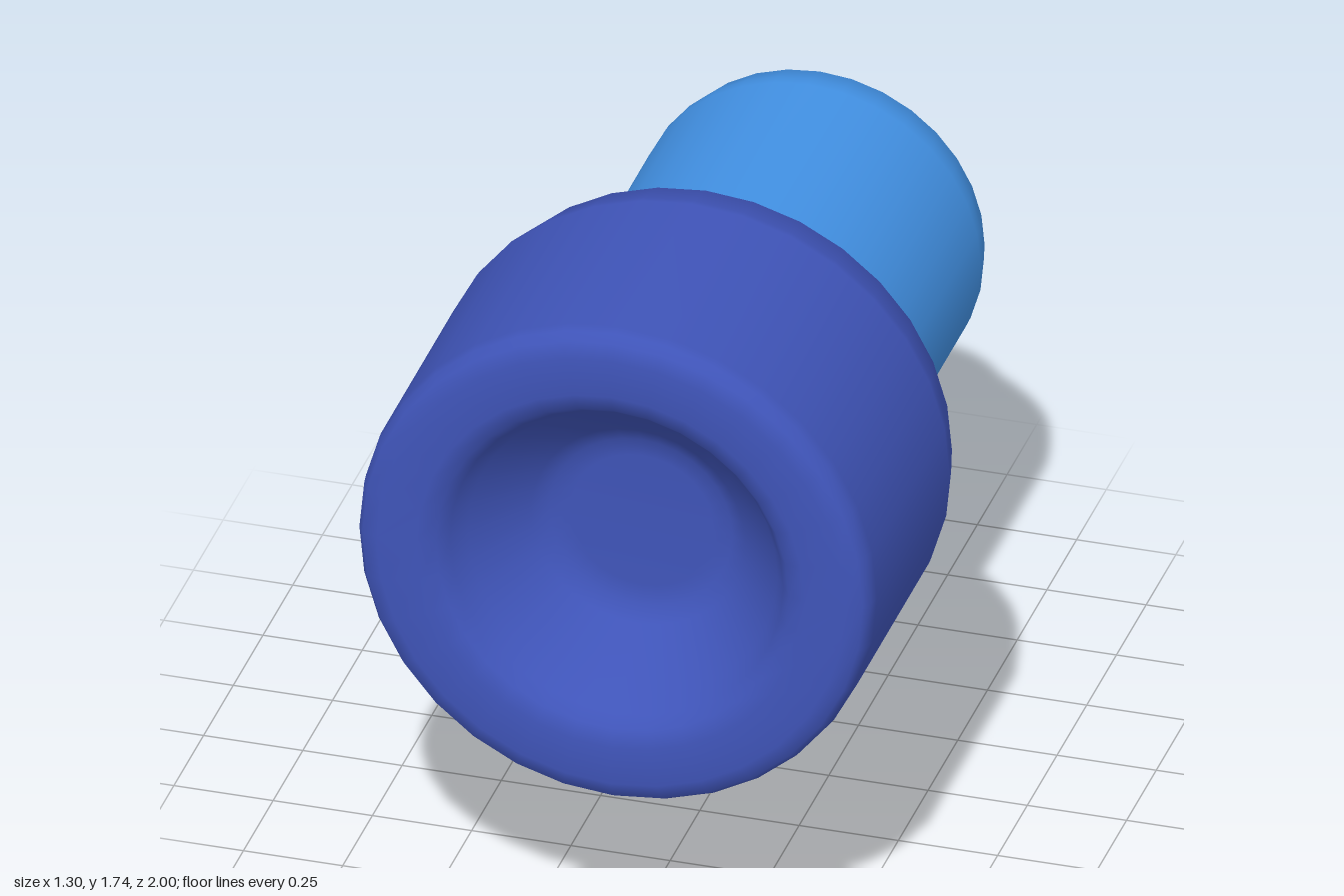
import * as THREE from 'three';

const AXIS_Y = 1.085;

// Round part turned about the z axis; profile is [radius, z] from back to front.
function turned(name, profile, material) {
  const geo = new THREE.LatheGeometry(profile.map(([r, z]) => new THREE.Vector2(r, z)), 32);
  geo.rotateX(Math.PI / 2);
  const mesh = new THREE.Mesh(geo, material);
  mesh.name = name;
  mesh.position.y = AXIS_Y;
  return mesh;
}

// Upright loft of rounded rectangles, bottom to top:
// each section is [y, z front, z back, half width, corner radius].
function loft(name, sections, material) {
  const steps = 4, ring = 4 * (steps + 1);
  const pos = [], index = [];
  for (const [y, front, back, hx, r] of sections) {
    const zc = (front + back) / 2, hz = (front - back) / 2;
    for (let q = 0; q < 4; q++) {
      const sx = q === 0 || q === 3 ? 1 : -1, sz = q < 2 ? 1 : -1;
      for (let k = 0; k <= steps; k++) {
        const a = (q + k / steps) * Math.PI / 2;
        pos.push(sx * (hx - r) + r * Math.cos(a), y, zc + sz * (hz - r) + r * Math.sin(a));
      }
    }
  }
  for (let i = 0; i < sections.length - 1; i++) {
    for (let j = 0; j < ring; j++) {
      const a = i * ring + j, b = i * ring + (j + 1) % ring;
      index.push(a, a + ring, b, b, a + ring, b + ring);
    }
  }
  // bottom and top caps
  const last = (sections.length - 1) * ring, base = pos.length / 3;
  for (const s of [sections[0], sections[sections.length - 1]]) pos.push(0, s[0], (s[1] + s[2]) / 2);
  for (let j = 0; j < ring; j++) {
    const n = (j + 1) % ring;
    index.push(base, j, n, base + 1, last + n, last + j);
  }
  const geo = new THREE.BufferGeometry();
  geo.setAttribute('position', new THREE.Float32BufferAttribute(pos, 3));
  geo.setIndex(index);
  geo.computeVertexNormals();
  const mesh = new THREE.Mesh(geo, material);
  mesh.name = name;
  return mesh;
}

export function createModel() {
  const indigo = new THREE.MeshStandardMaterial({ color: 0x3f54b8 });
  indigo.name = 'indigo';
  const skyBlue = new THREE.MeshStandardMaterial({ color: 0x4291e4 });
  skyBlue.name = 'sky blue';

  const model = new THREE.Group();
  model.name = 'toyBlaster';

  // wide muzzle with rounded shoulder and funnel-shaped bore
  model.add(turned('muzzle', [
    [0.40, 0.08], [0.44, 0.09], [0.475, 0.10], [0.55, 0.12], [0.62, 0.20], [0.648, 0.30],
    [0.65, 0.32], [0.65, 0.93], [0.645, 0.96], [0.63, 0.985], [0.59, 1.0],
    [0.49, 1.0], [0.445, 0.985], [0.42, 0.95], [0.39, 0.90], [0.27, 0.77], [0.23, 0.745],
    [0.18, 0.735], [0, 0.735],
  ], indigo));

  // cylindrical body with rounded rear
  model.add(turned('body', [
    [0.25, -0.815], [0.35, -0.815], [0.37, -0.81], [0.415, -0.76], [0.434, -0.69],
    [0.435, -0.66], [0.435, 0.06], [0.44, 0.095],
  ], skyBlue));

  // domed cap at the rear
  model.add(turned('rearCap', [
    [0, -1], [0.15, -1], [0.18, -0.995], [0.24, -0.96], [0.285, -0.90], [0.305, -0.825], [0.306, -0.80],
  ], indigo));

  // slanted grip
  model.add(loft('grip', [
    [0.0, -0.37, -0.68, 0.08, 0.07],
    [0.02, -0.28, -0.755, 0.145, 0.10],
    [0.065, -0.215, -0.79, 0.195, 0.11],
    [0.15, -0.178, -0.785, 0.222, 0.12],
    [0.22, -0.164, -0.768, 0.222, 0.12],
    [0.75, -0.06, -0.618, 0.208, 0.12],
  ], skyBlue));

  // trigger ahead of the grip
  model.add(loft('trigger', [
    [0.39, -0.06, -0.22, 0.04, 0.035],
    [0.41, 0.0, -0.23, 0.075, 0.055],
    [0.45, 0.038, -0.24, 0.1, 0.065],
    [0.51, 0.058, -0.24, 0.112, 0.07],
    [0.70, 0.06, -0.24, 0.112, 0.07],
  ], indigo));

  return model;
}
